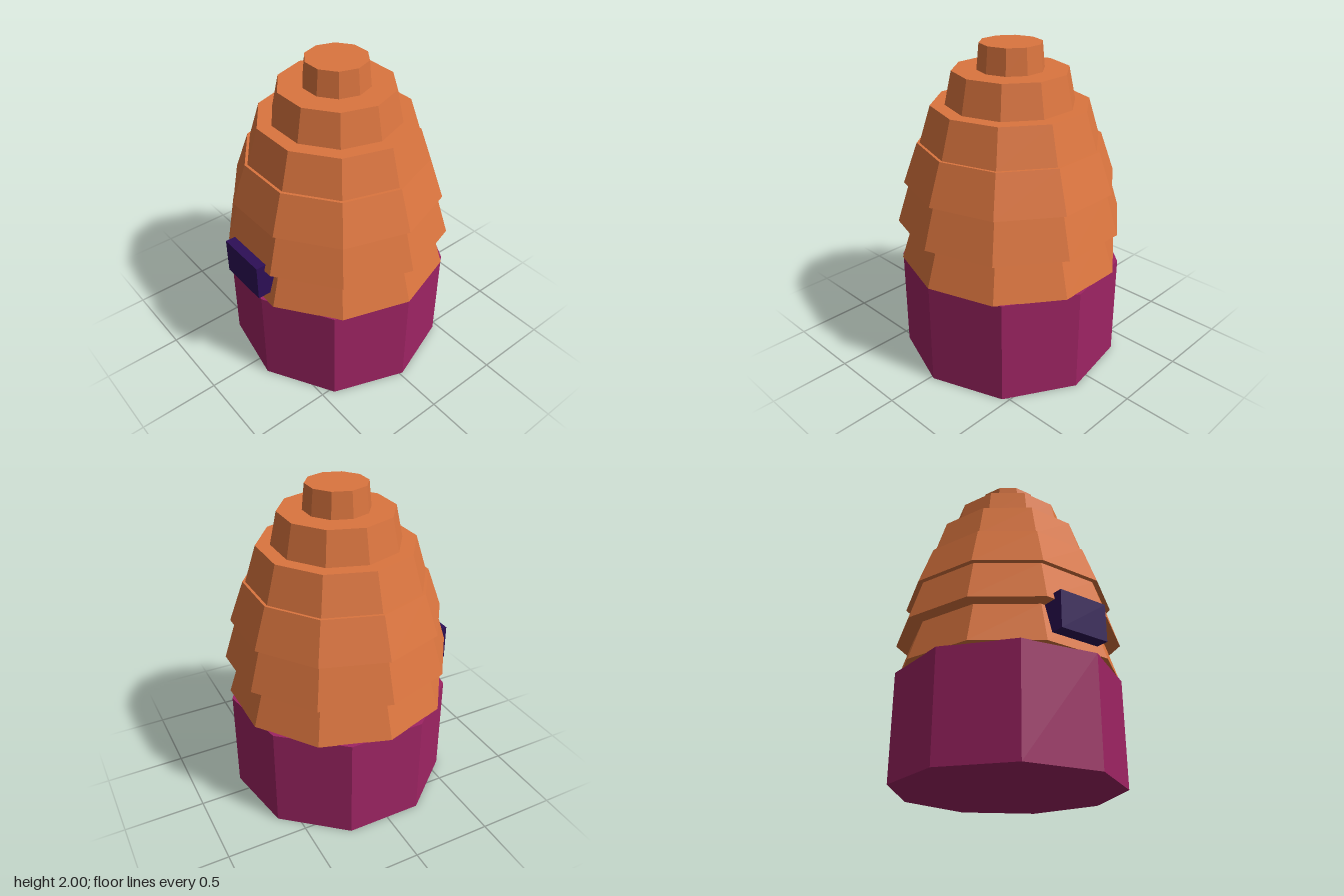
import * as THREE from 'three';

const orange = new THREE.MeshStandardMaterial({ color: 0xdb753f });
orange.name = 'orange';
const magenta = new THREE.MeshStandardMaterial({ color: 0x9e2463 });
magenta.name = 'magenta';
const indigo = new THREE.MeshStandardMaterial({ color: 0x2d0f56 });
indigo.name = 'indigo';

const CENTRE_Z = -0.02;

// Tapered prism with one corner pointing along +x
function prism(name, sides, y0, y1, rBottom, rTop, material) {
  const geometry = new THREE.CylinderGeometry(rTop, rBottom, y1 - y0, sides).toNonIndexed();
  geometry.rotateY(Math.PI / 2 - Math.floor(sides / 4) * (2 * Math.PI / sides));
  geometry.computeVertexNormals();
  const mesh = new THREE.Mesh(geometry, material);
  mesh.name = name;
  mesh.position.set(0, (y0 + y1) / 2, CENTRE_Z);
  return mesh;
}

export function createModel() {
  const model = new THREE.Group();
  model.name = 'tieredHut';

  // Nine-sided base wall
  model.add(prism('base', 9, 0, 0.66, 0.692, 0.692, magenta));

  // Ten-sided roof tiers: bottom y, top y, bottom radius, top radius
  const tiers = [
    [0.658, 0.915, 0.695, 0.612],
    [0.915, 1.17, 0.705, 0.625],
    [1.17, 1.42, 0.657, 0.567],
    [1.42, 1.645, 0.55, 0.48],
    [1.645, 1.845, 0.393, 0.35],
    [1.845, 2.0, 0.202, 0.187],
  ];
  const roof = new THREE.Group();
  roof.name = 'roof';
  tiers.forEach((t, i) => roof.add(prism(`roofTier${i + 1}`, 10, ...t, orange)));
  model.add(roof);

  // Window block set into the lowest tier
  const window = new THREE.Mesh(new THREE.BoxGeometry(0.326, 0.23, 0.2), indigo);
  window.name = 'window';
  window.position.set(-0.002, 0.84, 0.602);
  model.add(window);

  return model;
}
